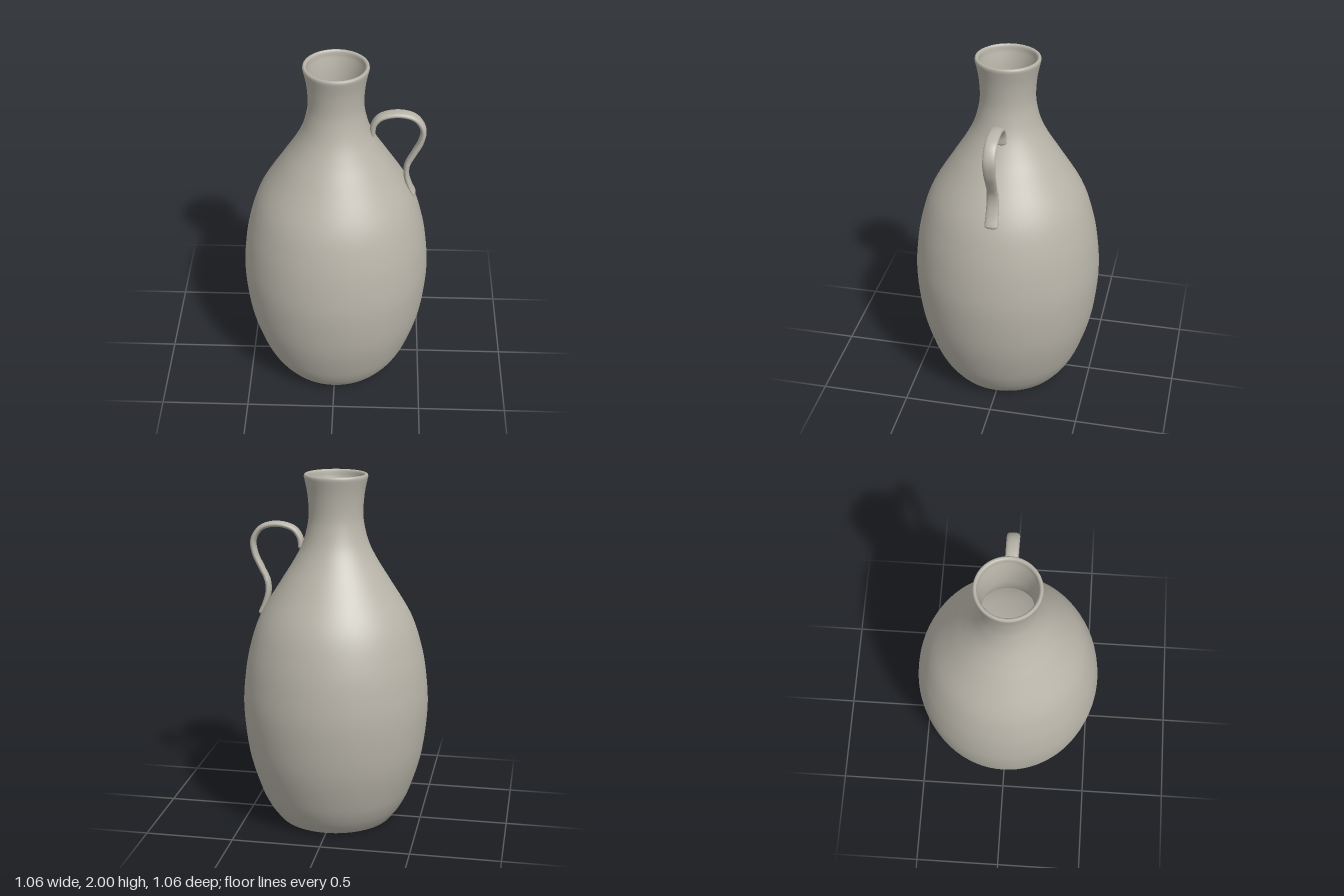
import * as THREE from 'three';
import { mergeGeometries, mergeVertices } from 'three/addons/utils/BufferGeometryUtils.js';

const v2 = ([x, y]) => new THREE.Vector2(x, y);
const spline = (pts, n) => new THREE.SplineCurve(pts.map(v2)).getPoints(n);

// One closed wall: recessed base, foot ring, outside, rounded rim, inside, floor
function jugProfile() {
  const wall = [
    [0.345, 0.025], [0.39, 0.09], [0.44, 0.2], [0.5, 0.41], [0.527, 0.66], [0.517, 0.85],
    [0.487, 1.02], [0.427, 1.2], [0.31, 1.395], [0.238, 1.51], [0.187, 1.61], [0.159, 1.71],
    [0.151, 1.79], [0.158, 1.89], [0.174, 1.972],
  ];
  const underside = [[0, 0.03], [0.262, 0.03], [0.275, 0.025], [0.285, 0.01], [0.297, 0.002], [0.312, 0], [0.33, 0.007]];
  const rim = [[0.177, 1.985], [0.175, 1.996], [0.168, 2], [0.16, 1.997], [0.155, 1.988]];
  const inside = wall.slice(1).reverse().map(([r, y]) => [r - 0.018, y]);
  return [
    ...underside.map(v2),
    ...spline(wall, 60),
    ...rim.map(v2),
    ...spline(inside, 50),
    v2([0.33, 0.06]), v2([0, 0.05]),
  ];
}

// Curved strap: a planar tube with ball ends, widened sideways into a flat band
function handleGeometry() {
  const radius = 0.016;
  const path = new THREE.CatmullRomCurve3([
    [0.198, 1.59], [0.203, 1.635], [0.24, 1.685], [0.335, 1.709], [0.425, 1.685], [0.471, 1.615],
    [0.462, 1.535], [0.425, 1.455], [0.393, 1.385], [0.389, 1.32], [0.406, 1.255], [0.428, 1.204],
  ].map(([x, y]) => new THREE.Vector3(x, y, 0)));
  const parts = [new THREE.TubeGeometry(path, 80, radius, 20)];
  for (const t of [0, 1]) {
    const p = path.getPoint(t);
    parts.push(new THREE.SphereGeometry(radius, 20, 14).translate(p.x, p.y, 0));
  }
  const geo = mergeGeometries(parts);
  const pos = geo.attributes.position;
  for (let i = 0; i < pos.count; i++) {
    const s = pos.getZ(i) / radius;
    // Slightly narrower at the waist, flared at the lower end
    const y = pos.getY(i);
    const half = 0.031 + 0.007 * Math.min(1, Math.abs(y - 1.4) / 0.2) - (y > 1.4 ? 0.003 : 0);
    pos.setZ(i, Math.sign(s) * Math.pow(Math.abs(s), 0.75) * half);
  }
  geo.deleteAttribute('uv');
  geo.deleteAttribute('normal');
  const smooth = mergeVertices(geo, 1e-5);
  smooth.computeVertexNormals();
  return smooth;
}

export function createModel() {
  const clay = new THREE.MeshStandardMaterial({ color: 0xb8b4a9 });
  clay.name = 'warm grey clay';

  const group = new THREE.Group();
  group.name = 'jug';

  const body = new THREE.Mesh(new THREE.LatheGeometry(jugProfile(), 72), clay);
  body.name = 'body';
  const handle = new THREE.Mesh(handleGeometry(), clay);
  handle.name = 'handle';
  group.add(body, handle);
  return group;
}
